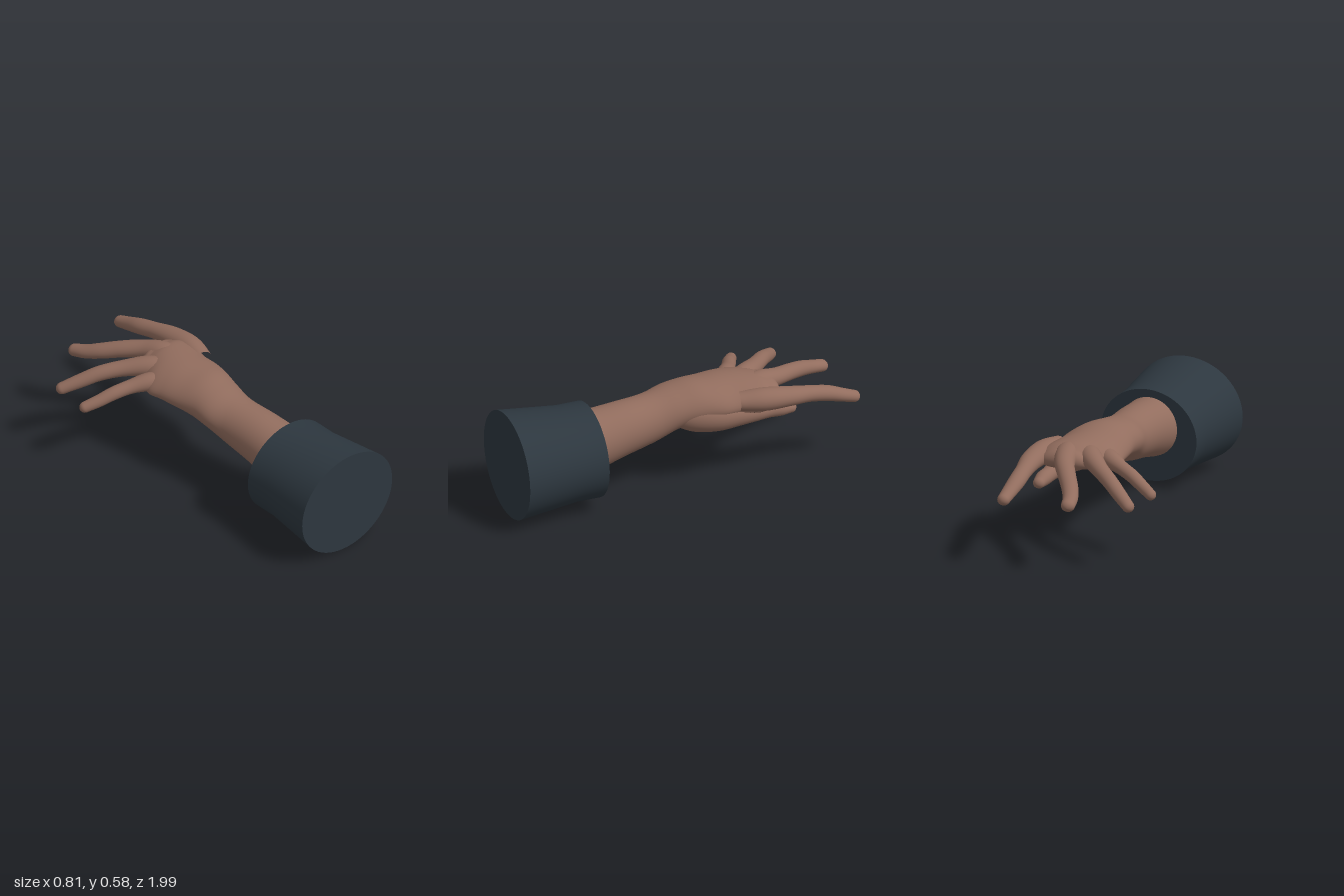
import * as THREE from 'three';
import { toCreasedNormals } from 'three/addons/utils/BufferGeometryUtils.js';

const UP = new THREE.Vector3(0, 1, 0);

// Smooth loft through sections [x, y, z, halfWidth, halfHeight, arch], closed with a rounded tip.
function loft(sections, { steps = 6, sides = 28, flat = false } = {}) {
  const path = new THREE.CatmullRomCurve3(sections.map((s) => new THREE.Vector3(s[0], s[1], s[2])));
  const size = new THREE.CatmullRomCurve3(
    sections.map((s) => new THREE.Vector3(s[3], s[4], s[5] || 0)), false, 'catmullrom', 0.5);
  const rows = (sections.length - 1) * steps;
  const capRows = 7;
  const positions = [];
  const index = [];
  const addRing = (center, tangent, rx, ry, arch) => {
    const side = new THREE.Vector3().crossVectors(tangent, UP).normalize();
    const lift = new THREE.Vector3().crossVectors(side, tangent);
    for (let j = 0; j < sides; j++) {
      const a = (j / sides) * Math.PI * 2;
      const dx = rx * Math.cos(a);
      const dy = ry * Math.sin(a) - arch * dx * dx;
      const p = center.clone().addScaledVector(side, dx).addScaledVector(lift, dy);
      positions.push(p.x, p.y, p.z);
    }
  };
  let center, tangent, r;
  for (let i = 0; i <= rows; i++) {
    center = path.getPoint(i / rows);
    tangent = flat ? new THREE.Vector3(0, 0, -1) : path.getTangent(i / rows);
    r = size.getPoint(i / rows);
    addRing(center, tangent, r.x, r.y, r.z);
  }
  for (let k = 1; k <= capRows; k++) {
    const a = (k / capRows) * Math.PI / 2;
    const c = Math.max(Math.cos(a), 0.001);
    addRing(center.clone().addScaledVector(tangent, r.y * Math.sin(a)), tangent, r.x * c, r.y * c, r.z);
  }
  for (let i = 0; i < rows + capRows; i++) {
    for (let j = 0; j < sides; j++) {
      const a = i * sides + j;
      const b = i * sides + ((j + 1) % sides);
      index.push(a, a + sides, b, b, a + sides, b + sides);
    }
  }
  const geometry = new THREE.BufferGeometry();
  geometry.setAttribute('position', new THREE.Float32BufferAttribute(positions, 3));
  geometry.setIndex(index);
  geometry.computeVertexNormals();
  return geometry;
}

export function createModel() {
  const skin = new THREE.MeshStandardMaterial({ color: 0x926d5e });
  skin.name = 'skin';
  const cloth = new THREE.MeshStandardMaterial({ color: 0x2d373f });
  cloth.name = 'darkCloth';

  const model = new THREE.Group();
  model.name = 'armWithCuff';
  const add = (name, geometry, material, parent = model) => {
    const mesh = new THREE.Mesh(geometry, material);
    mesh.name = name;
    parent.add(mesh);
    return mesh;
  };

  // Sleeve cuff: a solid oval that tapers, then runs straight to its front rim
  const profile = [[0, 0], [0.322, 0], [0.282, 0.338], [0.282, 0.472], [0, 0.472]];
  const cuffShape = new THREE.LatheGeometry(profile.map(([x, y]) => new THREE.Vector2(x, y)), 64);
  cuffShape.rotateX(-Math.PI / 2).scale(1, 0.905, 1);
  const cuff = add('cuff', toCreasedNormals(cuffShape, 0.6), cloth);
  cuff.rotation.y = -0.17;
  cuff.position.set(-0.09, 0.2925, 0.94);

  const hand = new THREE.Group();
  hand.name = 'hand';
  model.add(hand);

  // Forearm, wrist and arched palm in one skin
  add('forearmAndPalm', loft([
    [-0.04, 0.335, 0.62, 0.18, 0.175, 0],
    [-0.02, 0.34, 0.48, 0.163, 0.165, 0],
    [0.005, 0.37, 0.3, 0.145, 0.148, 0],
    [0.022, 0.397, 0.12, 0.136, 0.132, 0],
    [0.035, 0.435, 0, 0.155, 0.115, 0.1],
    [0.06, 0.454, -0.1, 0.17, 0.112, 0.3],
    [0.08, 0.466, -0.2, 0.19, 0.1, 0.6],
    [0.09, 0.476, -0.3, 0.2, 0.09, 0.8],
    [0.115, 0.482, -0.39, 0.222, 0.08, 0.9],
    [0.145, 0.482, -0.46, 0.19, 0.072, 0.9],
    [0.155, 0.48, -0.51, 0.145, 0.056, 0.9],
  ], { flat: true, sides: 48 }), skin, hand);

  // Fingers: each starts inside the palm, swells at the joints and ends in a round tip
  const digits = {
    indexFinger: [
      [0.25, 0.475, -0.3, 0.06, 0.05], [0.3, 0.475, -0.42, 0.068, 0.062], [0.33, 0.467, -0.56, 0.06, 0.052],
      [0.337, 0.45, -0.68, 0.047, 0.044], [0.345, 0.425, -0.79, 0.046, 0.042],
      [0.36, 0.395, -0.88, 0.04, 0.036], [0.37, 0.375, -0.942, 0.035, 0.032],
    ],
    middleFinger: [
      [0.16, 0.49, -0.36, 0.06, 0.05], [0.155, 0.498, -0.48, 0.066, 0.058], [0.135, 0.483, -0.6, 0.054, 0.047],
      [0.085, 0.455, -0.72, 0.048, 0.044], [0.04, 0.425, -0.82, 0.045, 0.041],
      [0.015, 0.4, -0.9, 0.041, 0.036], [0.008, 0.385, -0.966, 0.038, 0.033],
    ],
    ringFinger: [
      [0.08, 0.485, -0.36, 0.055, 0.048], [0.03, 0.488, -0.47, 0.06, 0.054], [-0.055, 0.468, -0.59, 0.047, 0.043],
      [-0.14, 0.44, -0.685, 0.042, 0.04], [-0.21, 0.402, -0.755, 0.039, 0.037], [-0.283, 0.362, -0.826, 0.033, 0.032],
    ],
    littleFinger: [
      [0.02, 0.465, -0.32, 0.05, 0.045], [-0.06, 0.463, -0.41, 0.052, 0.05], [-0.14, 0.447, -0.475, 0.04, 0.038],
      [-0.22, 0.423, -0.53, 0.037, 0.036], [-0.285, 0.392, -0.575, 0.034, 0.033], [-0.346, 0.365, -0.622, 0.03, 0.03],
    ],
    // Thumb with its heel, tucked under the index finger
    thumb: [
      [0.09, 0.42, 0.02, 0.06, 0.06], [0.14, 0.4, -0.09, 0.085, 0.088], [0.19, 0.393, -0.2, 0.087, 0.086],
      [0.225, 0.39, -0.31, 0.07, 0.07], [0.245, 0.38, -0.41, 0.052, 0.053], [0.255, 0.374, -0.48, 0.043, 0.043],
      [0.268, 0.37, -0.55, 0.043, 0.041], [0.275, 0.363, -0.605, 0.033, 0.03],
    ],
  };
  for (const [name, sections] of Object.entries(digits)) add(name, loft(sections), skin, hand);

  return model;
}
